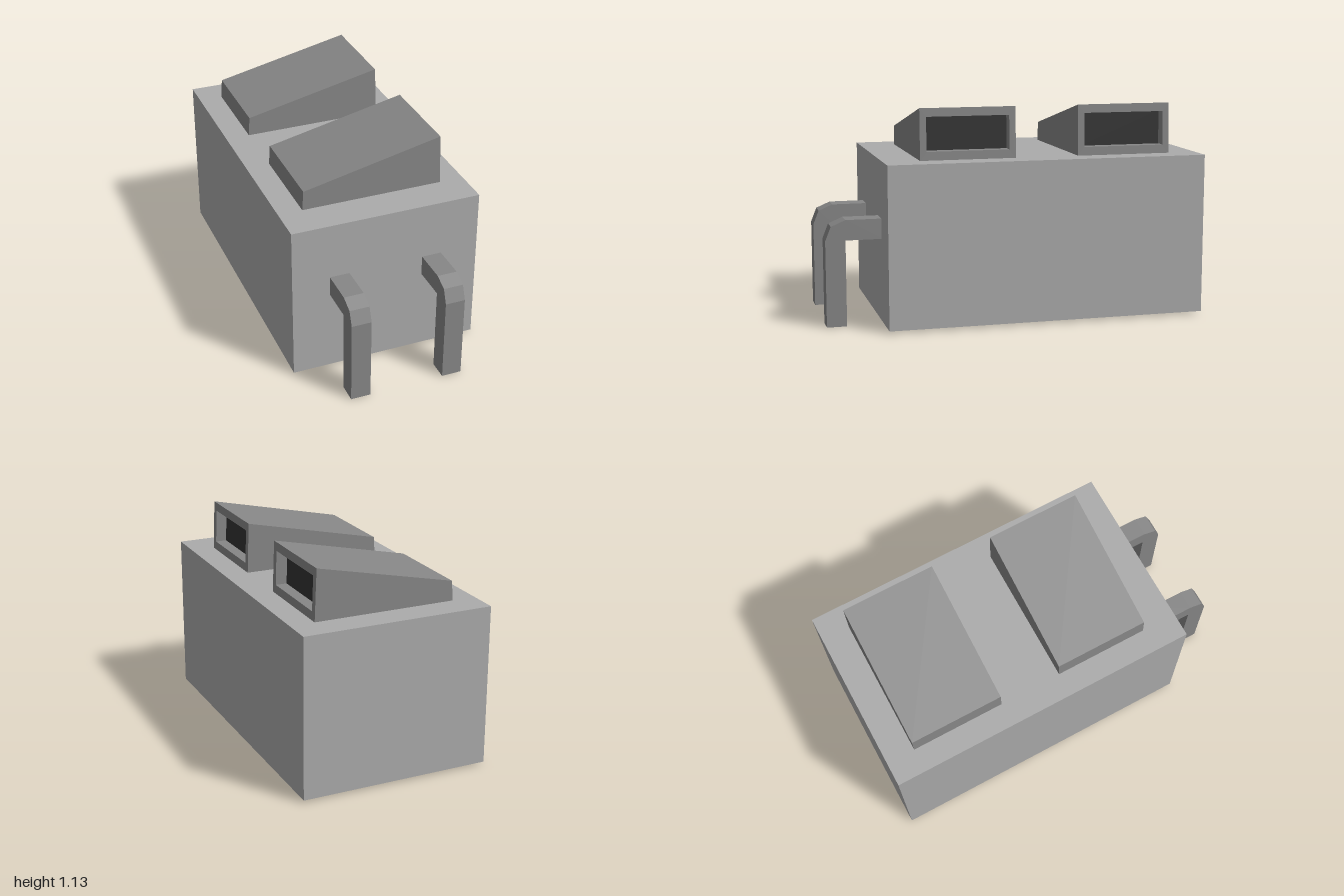
import * as THREE from 'three';

const mat = (name, color, side = THREE.FrontSide) => {
  const m = new THREE.MeshStandardMaterial({ color, side });
  m.name = name;
  return m;
};

function mesh(name, geometry, material) {
  const m = new THREE.Mesh(geometry, material);
  m.name = name;
  return m;
}

// Flat-shaded geometry from four-cornered faces, counter-clockwise from outside
function fromQuads(quads) {
  const pos = quads.flatMap(([a, b, c, d]) => [a, b, c, a, c, d].flat());
  const g = new THREE.BufferGeometry();
  g.setAttribute('position', new THREE.Float32BufferAttribute(pos, 3));
  g.computeVertexNormals();
  return g;
}

// Rectangle of four corners facing +x, front-bottom corner first
const loop = (xLow, xHigh, yLow, yHigh, halfZ) => [
  [xLow, yLow, halfZ], [xLow, yLow, -halfZ], [xHigh, yHigh, -halfZ], [xHigh, yHigh, halfZ],
];
// Four faces joining two loops
const band = (a, b) => a.map((p, i) => {
  const j = (i + 1) % 4;
  return [p, a[j], b[j], b[i]];
});

// Wedge-shaped hood with a recessed dark opening on its tall +x end
function createHood(body, dark) {
  const low = loop(-0.382, -0.375, 0.865, 0.97, 0.2545);
  const tall = loop(0.381, 0.371, 0.865, 1.135, 0.2545);
  const rim = loop(0.379, 0.373, 0.91, 1.09, 0.22);
  const deep = loop(0.319, 0.313, 0.91, 1.09, 0.22);
  const hood = new THREE.Group();
  hood.name = 'hood';
  hood.add(
    mesh('hoodShell', fromQuads([
      ...band(low, tall), [...low].reverse(), ...band(tall, rim), ...band(rim, deep),
    ]), body),
    mesh('hoodOpening', fromQuads([deep]), dark),
  );
  return hood;
}

// Square pipe leaving the front wall and bending down to the ground
function createPipe(material) {
  const profile = [
    [0.698, 0.455], [0.895, 0.455], [0.895, 0], [1, 0],
    [1, 0.455], [0.97, 0.53], [0.895, 0.562], [0.698, 0.562],
  ].map(([z, y]) => new THREE.Vector2(z, y));
  const g = new THREE.ExtrudeGeometry(new THREE.Shape(profile), { depth: 0.106, bevelEnabled: false });
  g.rotateY(-Math.PI / 2).translate(0.053, 0, 0);
  return mesh('pipe', g, material);
}

export function createModel() {
  const light = mat('lightGrey', 0xababab, THREE.DoubleSide);
  const mid = mat('midGrey', 0x878787);
  const dark = mat('darkGrey', 0x333333);
  const model = new THREE.Group();
  model.name = 'ventilationUnit';

  // Housing: thin walls, open underneath
  const box = new THREE.BoxGeometry(1.022, 0.853, 1.707);
  const index = Array.from(box.index.array);
  index.splice(18, 6);
  box.setIndex(index);
  box.clearGroups();
  box.translate(0, 0.4385, -0.1465);
  model.add(mesh('housing', box, light));

  for (const z of [0.26, -0.59]) {
    const hood = createHood(mid, dark);
    hood.position.z = z;
    model.add(hood);
  }

  for (const x of [0.254, -0.256]) {
    const pipe = createPipe(mid);
    pipe.position.x = x;
    model.add(pipe);
  }
  return model;
}
